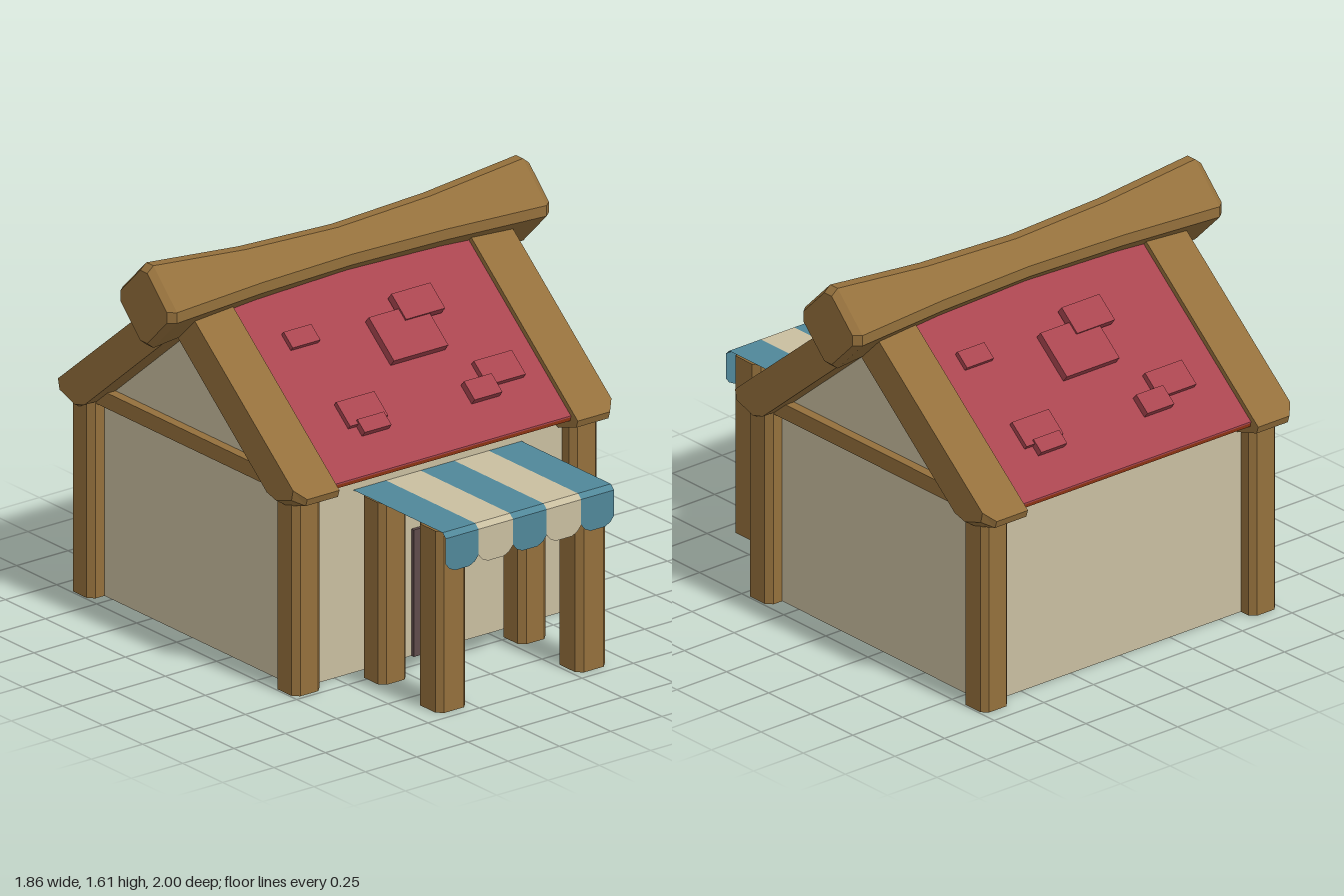
import * as THREE from 'three';

const mat = (name, color) => {
  const m = new THREE.MeshStandardMaterial({ color, flatShading: true, side: THREE.DoubleSide });
  m.name = name;
  return m;
};

const RIDGE_Z = -0.225;           // the house is symmetric about this line
const SLOPE = 0.825;              // roof fall per unit of depth
const PITCH = Math.atan(SLOPE);
const roofY = u => 1.452 - SLOPE * u;

export function createModel() {
  const model = new THREE.Group();
  const wood = mat('wood', 0x94703c);
  const plaster = mat('plaster', 0xc9bea0);
  const red = mat('roof red', 0xa8454f);
  const rust = mat('eave rust', 0x8a3212);
  const blue = mat('awning blue', 0x508799);
  const dark = mat('door brown', 0x5f4b4b);

  const add = (parent, name, geometry, material, x = 0, y = 0, z = 0) => {
    const mesh = new THREE.Mesh(geometry, material);
    mesh.name = name;
    mesh.position.set(x, y, z);
    parent.add(mesh);
    return mesh;
  };

  // Skin over equal-length rings of points, optionally closed at both ends
  const loft = (rings, capped = true) => {
    const n = rings[0].length, index = [];
    for (let i = 0; i < rings.length - 1; i++) {
      for (let k = 0; k < n; k++) {
        const a = i * n + k, b = i * n + (k + 1) % n;
        index.push(a, b, b + n, a, b + n, a + n);
      }
    }
    if (capped) {
      const last = (rings.length - 1) * n;
      for (let k = 1; k < n - 1; k++) index.push(0, k + 1, k, last, last + k, last + k + 1);
    }
    const g = new THREE.BufferGeometry();
    g.setAttribute('position', new THREE.Float32BufferAttribute(rings.flat(2), 3));
    g.setIndex(index);
    const flat = g.toNonIndexed();
    flat.computeVertexNormals();
    return flat;
  };

  // Eight corners: r is the reach, c the half-length of the flat at each reach
  const octagon = (r, c) => [[r, -c], [r, c], [c, r], [-c, r], [-r, c], [-r, -c], [-c, -r], [c, -r]];

  // Square post with bevelled corners, open at the foot
  const post = (name, x, z, w, h) => {
    const ring = y => octagon(w / 2, w / 2 - 0.024).map(([a, b]) => [a, y, -b]);
    add(model, name, loft([ring(0), ring(h)], false), wood, x, 0, z);
  };

  // House walls with gables
  const side = new THREE.Shape([[-0.64, 0], [0.64, 0], [0.64, 0.8], [0, 1.35], [-0.64, 0.8]]
    .map(p => new THREE.Vector2(...p)));
  for (const s of [1, -1]) {
    add(model, 'sideWall', new THREE.ShapeGeometry(side), plaster, s * 0.675, 0, RIDGE_Z)
      .rotation.y = s * Math.PI / 2;
    const wall = add(model, s > 0 ? 'frontWall' : 'backWall', new THREE.PlaneGeometry(1.35, 0.91),
      plaster, 0, 0.455, RIDGE_Z + s * 0.64);
    if (s < 0) wall.rotation.y = Math.PI;
    add(model, 'tieBeam', new THREE.BoxGeometry(0.08, 0.065, 1.2), wood, s * 0.675, 0.838, RIDGE_Z);
    for (const e of [1, -1]) post('cornerPost', s * 0.675, RIDGE_Z + e * 0.64, 0.135, 0.86);
    post('awningRearPost', s * 0.34, 0.525, 0.135, 0.752);
    post('awningFrontPost', s * 0.34, 0.885, 0.145, 0.752);
  }
  add(model, 'door', new THREE.BoxGeometry(0.25, 0.525, 0.03), dark, 0, 0.2625, 0.415);

  // Ridge beam: a diamond section that swells towards bevelled ends
  const ridge = [[-0.93, 0.145], [-0.9, 0.17], [-0.45, 0.126], [0, 0.107], [0.45, 0.126], [0.9, 0.17], [0.93, 0.145]]
    .map(([x, r]) => octagon(r, 0.022).map(([a, b]) => [x, 1.44 + a, b]));
  add(model, 'ridgeBeam', loft(ridge), wood, 0, 0, RIDGE_Z);

  // Shingles: x range, z range, height of the top above the roof
  const shingles = [
    [-0.43, -0.295, -0.015, 0.065, 0.02],
    [-0.05, 0.215, 0.03, 0.21, 0.034],
    [0.095, 0.285, -0.015, 0.1, 0.042],
    [-0.38, -0.195, 0.25, 0.36, 0.02],
    [-0.34, -0.21, 0.33, 0.4, 0.028],
    [0.29, 0.475, 0.25, 0.36, 0.024],
    [0.195, 0.33, 0.31, 0.4, 0.03],
  ];

  // A sheet following the slope from depth u0 to u1, between two offsets below the roof line
  const sheet = (u0, u1, top, bottom) => loft([-0.59, 0.59].map(x => [
    [x, roofY(u0) - top, u0], [x, roofY(u1) - top, u1],
    [x, roofY(u1) - bottom, u1], [x, roofY(u0) - bottom, u0]]));

  // Each roof half, the back one turned around the ridge
  for (const front of [true, false]) {
    const half = new THREE.Group();
    half.name = front ? 'frontRoof' : 'backRoof';
    half.position.z = RIDGE_Z;
    half.rotation.y = front ? 0 : Math.PI;
    model.add(half);

    add(half, 'roofSheet', sheet(0, 0.732, 0, 0.006), red);
    add(half, 'eaveTrim', sheet(0.63, 0.73, 0.006, 0.022), rust);

    // Rafters, with the outer corner of the eave end cut back
    const section = (x, cut) => [
      [x, 1.48, 0], [x, 0.84 + cut * SLOPE, 0.775 - cut], [x, 0.81 + cut * 0.5, 0.765 - cut],
      [x, 0.775 + cut * 0.6, 0.65 - cut * 0.5], [x, 0.815, 0.57], [x, 1.29, 0]];
    add(half, 'rafter', loft([section(0.58, 0), section(0.737, 0), section(0.775, 0.04)]), wood);
    add(half, 'rafter', loft([section(-0.775, 0.04), section(-0.737, 0), section(-0.58, 0)]), wood);

    const t = 0.035;
    for (const [x0, x1, z0, z1, h] of shingles) {
      const u = (z0 + z1) / 2 - RIDGE_Z;
      const length = (z1 - z0 - t * Math.sin(PITCH)) / Math.cos(PITCH);
      add(half, 'shingle', new THREE.BoxGeometry(x1 - x0, t, length), red,
        (x0 + x1) / 2 - (front ? 0 : 0.045), roofY(u) + (h - t / 2) / Math.cos(PITCH), u)
        .rotation.x = PITCH;
    }
  }

  // Striped awning with a scalloped valance
  const awning = new THREE.Group();
  awning.name = 'awning';
  model.add(awning);
  const edges = [-0.41, -0.25, -0.082, 0.082, 0.25, 0.41];
  for (let i = 0; i < 5; i++) {
    const a = edges[i], b = edges[i + 1], material = i % 2 ? plaster : blue;
    const line = (y, z) => [[a, y, z], [b, y, z]];
    const rows = [line(0.757, 0.417), line(0.757, 0.975), line(0.738, 0.995)];
    const g = new THREE.BufferGeometry();
    g.setAttribute('position', new THREE.Float32BufferAttribute(rows.flat(2), 3));
    g.setIndex([0, 2, 3, 0, 3, 1, 2, 4, 5, 2, 5, 3]);
    const top = g.toNonIndexed();
    top.computeVertexNormals();
    add(awning, 'awningStripe', top, material);
    const flap = new THREE.Shape([[a, 0.738], [a, 0.632], [a + 0.018, 0.61], [a + 0.045, 0.597],
      [b - 0.045, 0.597], [b - 0.018, 0.61], [b, 0.632], [b, 0.738]].map(p => new THREE.Vector2(...p)));
    add(awning, 'valanceFlap', new THREE.ShapeGeometry(flap), material, 0, 0, 0.995);
  }
  return model;
}
